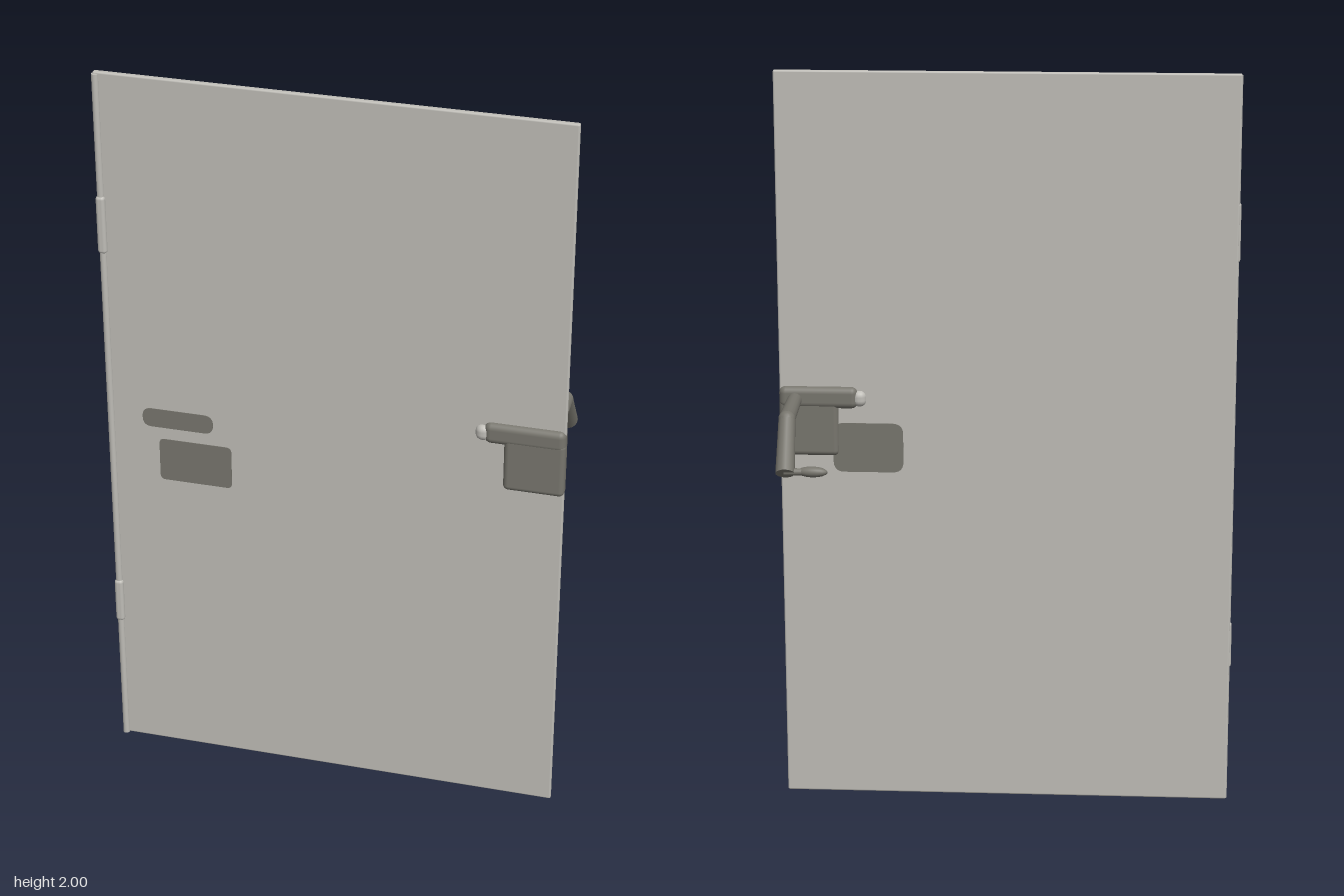
import * as THREE from 'three';
import { RoundedBoxGeometry } from 'three/addons/geometries/RoundedBoxGeometry.js';

export function createModel() {
  const model = new THREE.Group();
  model.name = 'door';
  const mat = (name, color) => {
    const m = new THREE.MeshStandardMaterial({ color });
    m.name = name;
    return m;
  };
  const paint = mat('pale grey paint', 0xbebcb6);
  const metal = mat('dark grey metal', 0x77756d);

  // Everything fixed to the slab shares its slightly swung-open frame
  const leaf = new THREE.Group();
  leaf.name = 'doorLeaf';
  leaf.position.set(0, 0, 0.155);
  leaf.rotation.y = 0.036;
  model.add(leaf);

  const add = (parent, name, geometry, material, x = 0, y = 0, z = 0) => {
    const mesh = new THREE.Mesh(geometry, material);
    mesh.name = name;
    mesh.position.set(x, y, z);
    parent.add(mesh);
    return mesh;
  };
  const block = (name, x0, x1, y0, y1, z0, z1, r, material) => add(leaf, name,
    new RoundedBoxGeometry(x1 - x0, y1 - y0, z1 - z0, 3, r), material,
    (x0 + x1) / 2, (y0 + y1) / 2, (z0 + z1) / 2);

  // Slab with a rounded bead and two hinges along the hinge side
  block('slab', -0.604, 0.604, 0.005, 2, -0.0075, 0.0075, 0.005, paint);
  add(leaf, 'hingeBead', new THREE.CylinderGeometry(0.009, 0.009, 1.99, 12), paint, -0.597, 1.0, 0.007);
  for (const [y0, y1] of [[0.385, 0.515], [1.505, 1.665]])
    block('hinge', -0.609, -0.585, y0, y1, -0.004, 0.019, 0.009, paint);

  // Thin rounded panels painted on the slab
  const panel = (name, x0, x1, y0, y1, r, z) => {
    const w = (x1 - x0) / 2, h = (y1 - y0) / 2;
    const s = new THREE.Shape();
    s.moveTo(-w + r, -h);
    s.lineTo(w - r, -h);
    s.quadraticCurveTo(w, -h, w, -h + r);
    s.lineTo(w, h - r);
    s.quadraticCurveTo(w, h, w - r, h);
    s.lineTo(-w + r, h);
    s.quadraticCurveTo(-w, h, -w, h - r);
    s.lineTo(-w, -h + r);
    s.quadraticCurveTo(-w, -h, -w + r, -h);
    add(leaf, name, new THREE.ExtrudeGeometry(s, { depth: 0.002, bevelEnabled: false }),
      metal, (x0 + x1) / 2, (y0 + y1) / 2, z);
  };
  panel('frontUpperPanel', -0.51, -0.32, 1.012, 1.066, 0.025, 0.007);
  panel('frontLowerPanel', -0.467, -0.272, 0.855, 0.978, 0.015, 0.007);
  panel('backPanel', 0.275, 0.462, 0.925, 1.06, 0.03, -0.009);

  // Lock plate and the bar above it, standing out on both faces
  block('lockPlate', 0.447, 0.605, 0.97, 1.125, -0.019, 0.02, 0.014, metal);
  block('lockBar', 0.395, 0.605, 1.1, 1.16, -0.022, 0.021, 0.018, metal);
  block('lockBarTip', 0.372, 0.41, 1.105, 1.15, -0.02, 0.021, 0.018, paint);

  // Cranked lever reaching out behind the door
  const rod = (name, a, b, ra, rb) => {
    const from = new THREE.Vector3(...a), to = new THREE.Vector3(...b);
    const dir = to.clone().sub(from);
    const mesh = add(model, name, new THREE.CylinderGeometry(rb, ra, dir.length(), 16), metal,
      ...from.clone().add(to).multiplyScalar(0.5).toArray());
    mesh.quaternion.setFromUnitVectors(new THREE.Vector3(0, 1, 0), dir.normalize());
  };
  const elbow = [0.55, 1.125, -0.075], end = [0.541, 1.007, -0.175];
  rod('leverArm', [0.562, 1.125, 0.13], elbow, 0.019, 0.022);
  add(model, 'leverElbow', new THREE.SphereGeometry(0.0225, 16, 12), metal, ...elbow);
  rod('leverGrip', elbow, end, 0.022, 0.025);

  // Small knob on a thin neck at the end of the lever
  rod('knobNeck', [0.545, 1.01, -0.17], [0.49, 1.01, -0.165], 0.01, 0.009);
  add(model, 'knob', new THREE.SphereGeometry(1, 16, 12), metal, 0.472, 1.01, -0.164)
    .scale.set(0.04, 0.014, 0.015);

  return model;
}
